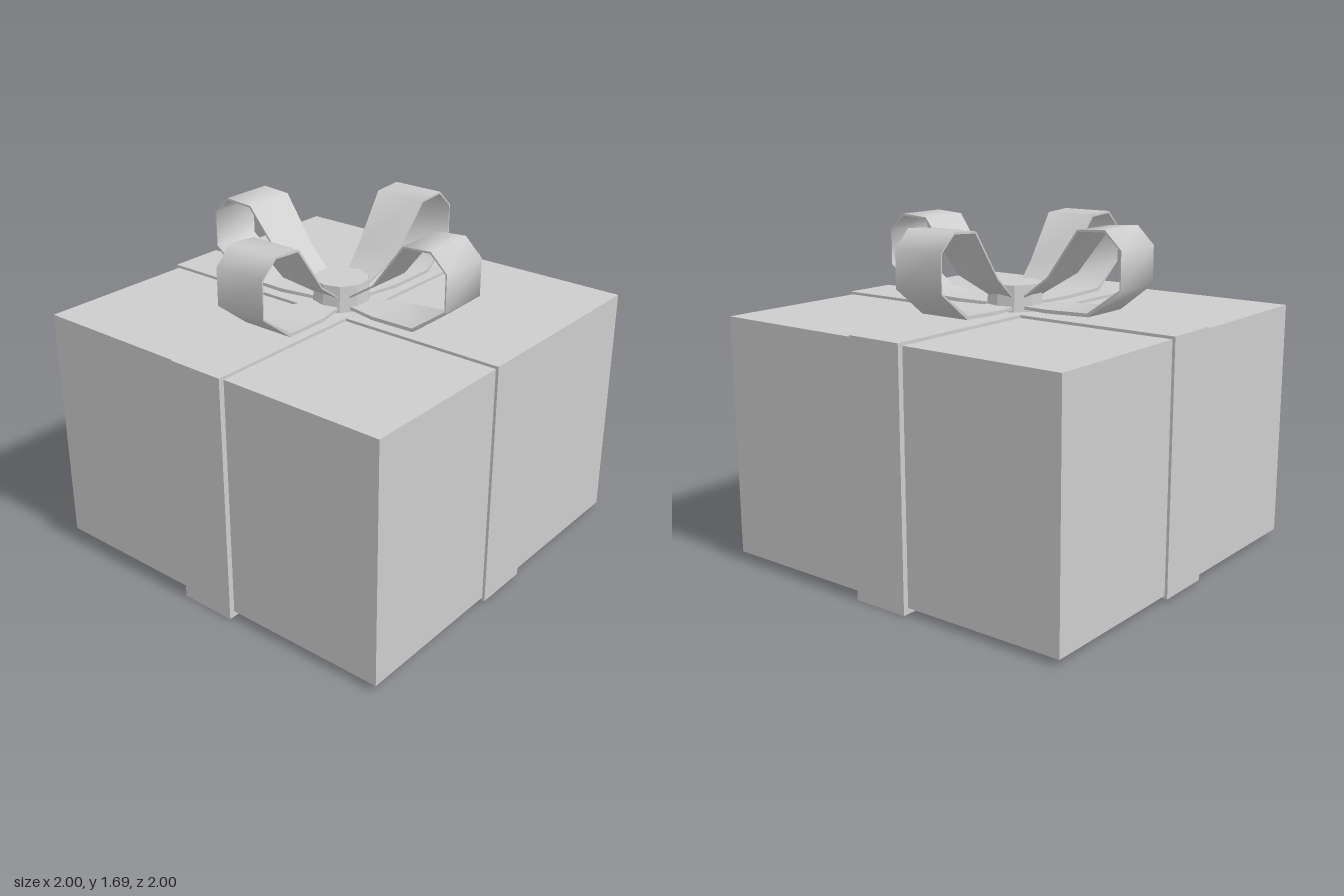
import * as THREE from 'three';

const paper = new THREE.MeshStandardMaterial({ color: 0xcccccc });
paper.name = 'light grey';

// Box mesh spanning y0..y1, centred on x and z
function slab(name, w, d, y0, y1) {
  const mesh = new THREE.Mesh(new THREE.BoxGeometry(w, y1 - y0, d), paper);
  mesh.name = name;
  mesh.position.y = (y0 + y1) / 2;
  return mesh;
}

// Bow loop sections: x, y of the outer face, half width, thickness
const sections = [
  [0.04, 1.258, 0.06, 0.015], [0.13, 1.262, 0.078, 0.016], [0.28, 1.268, 0.12, 0.018],
  [0.53, 1.28, 0.137, 0.018], [0.705, 1.417, 0.137, 0.007], [0.705, 1.6, 0.137, 0.007],
  [0.615, 1.686, 0.137, 0.011], [0.462, 1.676, 0.137, 0.011], [0.283, 1.441, 0.12, 0.009],
  [0.135, 1.345, 0.078, 0.009], [0.04, 1.285, 0.06, 0.009],
];

// Ribbon band: outer, inner and edge strips, each smooth along its length
function loopGeometry() {
  const outerL = [], outerR = [], innerL = [], innerR = [];
  sections.forEach(([x, y, w, t], i) => {
    const p = sections[Math.max(i - 1, 0)];
    const q = sections[Math.min(i + 1, sections.length - 1)];
    const dx = q[0] - p[0], dy = q[1] - p[1], len = Math.hypot(dx, dy);
    const ix = x - (dy / len) * t, iy = y + (dx / len) * t;
    outerL.push([x, y, -w]);
    outerR.push([x, y, w]);
    innerL.push([ix, iy, -w]);
    innerR.push([ix, iy, w]);
  });
  const positions = [], indices = [];
  const strip = (a, b) => {
    const start = positions.length / 3;
    a.forEach((point, i) => positions.push(...point, ...b[i]));
    for (let i = 0; i < a.length - 1; i++) {
      const k = start + i * 2;
      indices.push(k, k + 2, k + 1, k + 1, k + 2, k + 3);
    }
  };
  strip(outerL, outerR);
  strip(innerR, innerL);
  strip(outerR, innerR);
  strip(innerL, outerL);
  const geometry = new THREE.BufferGeometry();
  geometry.setAttribute('position', new THREE.Float32BufferAttribute(positions, 3));
  geometry.setIndex(indices);
  geometry.computeVertexNormals();
  return geometry;
}

export function createModel() {
  const model = new THREE.Group();
  model.name = 'giftBox';

  // Wrapped box and the two crossing ribbons
  model.add(slab('box', 1.972, 1.944, 0.03, 1.235));
  model.add(slab('sideRibbon', 2, 0.292, 0.015, 1.249));
  model.add(slab('frontRibbon', 0.292, 2, 0, 1.25));

  // Four bow loops
  const bow = new THREE.Group();
  bow.name = 'bow';
  const loop = loopGeometry();
  for (let i = 0; i < 4; i++) {
    const mesh = new THREE.Mesh(loop, paper);
    mesh.name = 'bowLoop' + (i + 1);
    mesh.rotation.y = (i * Math.PI) / 2;
    bow.add(mesh);
  }

  // Ten-sided knot in the middle
  const knot = new THREE.Mesh(new THREE.CylinderGeometry(0.135, 0.145, 0.13, 10).toNonIndexed(), paper);
  knot.geometry.computeVertexNormals();
  knot.name = 'knot';
  knot.position.y = 1.315;
  bow.add(knot);
  model.add(bow);
  return model;
}
